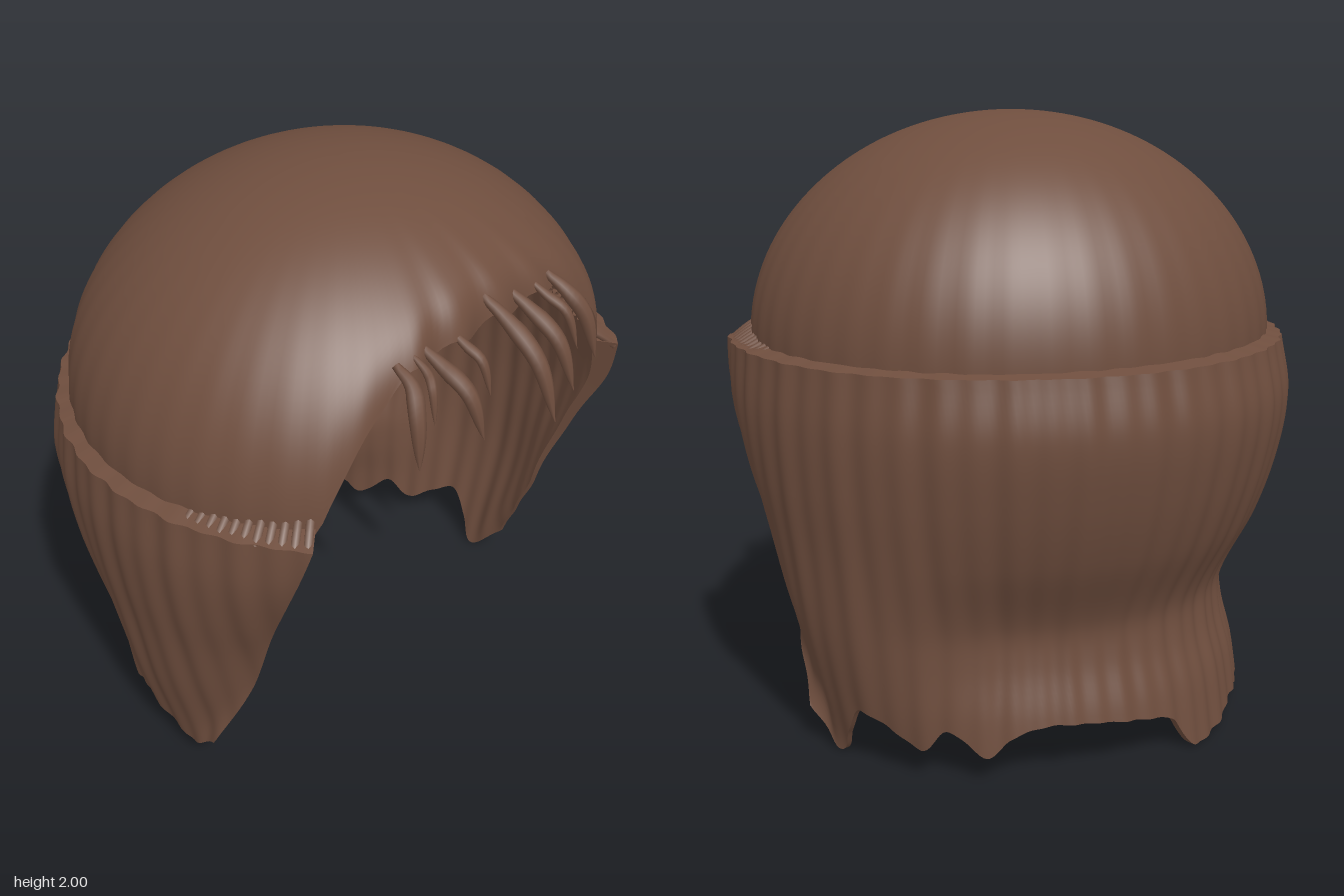
import * as THREE from 'three';

// Smooth interpolation through [key, value] pairs sorted by key
function curve(pts) {
  const slope = (i) => {
    const a = pts[Math.max(i - 1, 0)], b = pts[Math.min(i + 1, pts.length - 1)];
    return (b[1] - a[1]) / (b[0] - a[0]);
  };
  return (x) => {
    if (x <= pts[0][0]) return pts[0][1];
    for (let i = 0; i < pts.length - 1; i++) {
      const [x0, y0] = pts[i], [x1, y1] = pts[i + 1];
      if (x > x1) continue;
      const h = x1 - x0, t = (x - x0) / h, t2 = t * t, t3 = t2 * t;
      return y0 * (2 * t3 - 3 * t2 + 1) + slope(i) * h * (t3 - 2 * t2 + t)
        + y1 * (3 * t2 - 2 * t3) + slope(i + 1) * h * (t3 - t2);
    }
    return pts[pts.length - 1][1];
  };
}

// Surface from a rule point(u, v) -> [x, y, z]
function surface(nu, nv, point) {
  const pos = [], index = [];
  for (let j = 0; j <= nv; j++)
    for (let i = 0; i <= nu; i++) pos.push(...point(i / nu, j / nv));
  for (let j = 0; j < nv; j++)
    for (let i = 0; i < nu; i++) {
      const a = j * (nu + 1) + i, b = a + 1, c = a + nu + 1, d = c + 1;
      index.push(a, b, c, b, d, c);
    }
  const g = new THREE.BufferGeometry();
  g.setAttribute('position', new THREE.Float32BufferAttribute(pos, 3));
  g.setIndex(index);
  g.computeVertexNormals();
  return g;
}

const DEG = Math.PI / 180;
const TOP = 1.28;
const { lerp, smoothstep } = THREE.MathUtils;

// Long hair: radius at the sides and back, front-edge angle and hem height
const sideRadius = curve([[0, .775], [.2, .83], [.42, .875], [.7, .91], [.9, .935], [1.1, .945], [1.28, .93]]);
const backRadius = curve([[0, .805], [.2, .775], [.36, .735], [.48, .735], [.7, .84], [.9, .905], [1.1, .935], [1.28, .905]]);
const edgeAngle = curve([[0, 97], [.15, 101], [.5, 113], [.8, 119.5], [1.1, 126], [1.28, 129.5]]);
const hemHeight = curve([
  [-97, .19], [-92, .1], [-84, .14], [-74, .21], [-66, .17], [-60, .19], [-48, .12], [-34, .05], [-22, .06], [-11, .02],
  [-2, .005], [2, .02], [7, .12], [14, .15], [30, .18], [39, .18], [46, .15], [52, .09], [59, .17], [66, .1],
  [73, .17], [78, .2], [85, .1], [92, .01], [97, .13]]);

function hairPoint(u, v, inner) {
  const s = 1 - 2 * u;
  const hem = Math.max(0, hemHeight(s * 97));
  const y = lerp(TOP, hem, v);
  const a = s * edgeAngle(y), rad = a * DEG;
  const back = 1 - smoothstep(Math.abs(a), 42, 85);
  let r = lerp(sideRadius(y), backRadius(y), back);
  // the right side hangs a little closer
  if (s < 0) r -= .035 * v * (1 - back);
  // fine strands running straight down the length
  r += .004 * Math.sin(rad * 55) + .0025 * Math.sin(rad * 31 + 1.3 + v);
  // front locks curl inwards and get thinner
  const curl = Math.max(0, (Math.abs(s) - .78) / .22);
  r -= .14 * curl * curl * Math.sin(Math.PI * v) * Math.sqrt(v);
  if (inner) r -= (.025 + .065 * (1 - smoothstep(v, 0, .75))) * (1 - .4 * curl * Math.min(1, v * 4));
  return [r * Math.sin(rad), y + inner * .02 * (1 - v), .06 - r * Math.cos(rad)];
}

// Cap: a dome flattened at the forehead with an arched opening
const openHeight = curve([[0, 1.7], [14, 1.69], [26, 1.68], [33, 1.61], [38, 1.54], [44, 1.4], [49, 1.27], [60, 1.27], [180, 1.27]]);

function capPoint(u, v, inset) {
  const th = (u * 2 - 1) * Math.PI; // 0 faces the front
  const deg = Math.abs(th) / DEG;
  const fringe = 1 - smoothstep(deg, 24, 36);
  const bottom = openHeight(deg) + fringe * .015 * Math.sin(th * 24 + 1);
  const end = Math.acos((bottom - TOP) / .72);
  const p = end * v;
  const rho = Math.sin(p) * (1 + .003 * v * v * Math.sin(th * 44)) * (1 - inset);
  let z = .05 + .84 * rho * Math.cos(th);
  if (z > .54) z = .54 + .125 * Math.tanh((z - .54) / .125);
  z += fringe * .012 * v ** 4 * Math.sin(th * 24);
  return [.88 * rho * Math.sin(th), TOP + .72 * Math.cos(p) - inset * .7 * (1 - v), z];
}

export function createModel() {
  const model = new THREE.Group();
  const hair = new THREE.MeshStandardMaterial({ color: 0x6f4e3e, side: THREE.DoubleSide });
  hair.name = 'brown hair';
  const add = (name, geometry, parent = model) => {
    const mesh = new THREE.Mesh(geometry, hair);
    mesh.name = name;
    parent.add(mesh);
  };

  // Cap with its inside and the rim of the opening
  add('cap', surface(200, 40, (u, v) => capPoint(u, v, 0)));
  add('capLining', surface(120, 24, (u, v) => capPoint(1 - u, v, .02)));
  add('capRim', surface(200, 1, (u, v) => capPoint(u, 1, v * .02)));

  // Long hair as a closed shell around the sides and back
  const long = new THREE.Group();
  long.name = 'longHair';
  model.add(long);
  add('outerHair', surface(320, 48, (u, v) => hairPoint(1 - u, v, 0)), long);
  add('innerHair', surface(320, 48, (u, v) => hairPoint(u, v, 1)), long);
  // strips that join the outer and inner layers
  const between = (u, v, t) => {
    const a = hairPoint(u, v, 0), b = hairPoint(u, v, 1);
    return a.map((n, i) => n + (b[i] - n) * t);
  };
  add('topLedge', surface(320, 1, (u, v) => between(u, 0, v)), long);
  add('hem', surface(320, 1, (u, v) => between(u, 1, v)), long);
  for (const side of [0, 1])
    add(side ? 'rightFrontEdge' : 'leftFrontEdge', surface(1, 48, (u, v) => between(side, v, u)), long);

  // Small overlapping strands at the temples
  for (const side of [-1, 1])
    for (let i = 0; i < 11; i++) {
      const a = (128.5 - i * 2.3) * DEG;
      const at = (r, y) => new THREE.Vector3(side * r * Math.sin(a), y, .06 - r * Math.cos(a));
      const path = new THREE.CatmullRomCurve3([at(.83, 1.33 - i * .003), at(.87, 1.305 - i * .002), at(.92, 1.265)]);
      add('templeStrand', new THREE.TubeGeometry(path, 6, .014, 6));
    }

  // Fringe: [root x, root y, tip x, tip y, tip z, radius]
  const strands = [
    [-.36, 1.69, -.415, 1.45, .76, .026], [-.30, 1.7, -.335, 1.55, .74, .014],
    [-.255, 1.7, -.215, 1.48, .82, .026], [-.145, 1.71, -.12, 1.55, .76, .016],
    [0, 1.75, .035, 1.44, .88, .028], [.12, 1.72, .175, 1.46, .84, .026],
    [.21, 1.72, .26, 1.54, .78, .016], [.30, 1.7, .375, 1.45, .775, .026]];
  const fringe = new THREE.Group();
  fringe.name = 'fringe';
  model.add(fringe);
  for (const [x0, y0, x1, y1, z1, r] of strands) {
    const path = new THREE.CatmullRomCurve3([
      new THREE.Vector3(x0 - .01, y0 + .02, .62),
      new THREE.Vector3(x0 + (x1 - x0) * .15, y0 - .02, .68),
      new THREE.Vector3(x0 + (x1 - x0) * .6, (y0 + y1) / 2 + .03, .65 + (z1 - .65) * .68),
      new THREE.Vector3(x1, y1, z1)]);
    const n = 18, sides = 8;
    const g = new THREE.TubeGeometry(path, n, r, sides);
    const p = g.attributes.position, q = new THREE.Vector3();
    // slim root, full middle, tapered tip
    for (let i = 0; i <= n; i++) {
      const t = i / n, c = path.getPointAt(t);
      const k = Math.max(.03, 1 - t ** 4) * Math.min(1, .45 + 1.6 * t);
      for (let j = 0; j <= sides; j++) {
        const id = i * (sides + 1) + j;
        q.fromBufferAttribute(p, id).sub(c).multiplyScalar(k).add(c);
        p.setXYZ(id, q.x, q.y, q.z);
      }
    }
    g.computeVertexNormals();
    add('fringeStrand', g, fringe);
  }
  return model;
}
